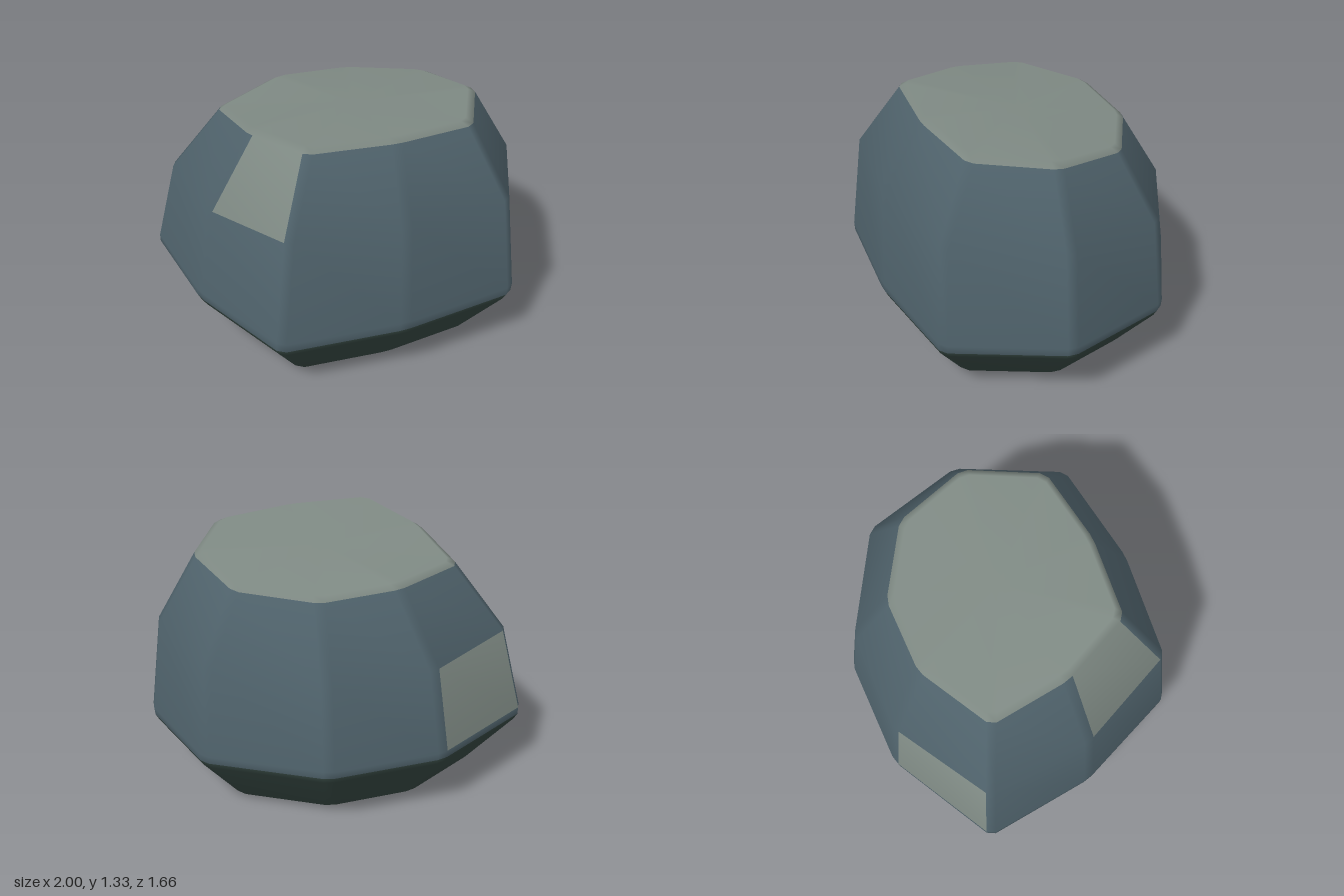
import * as THREE from 'three';

// Corner columns of the boulder, running from +x round through +z.
const waist = [[1.01, 0], [0.79, 0.63], [0.15, 0.8], [-0.52, 0.835], [-0.86, 0.28],
  [-1.02, -0.335], [-0.47, -0.745], [0.15, -0.84], [0.77, -0.575]].map(([x, z]) => new THREE.Vector3(x, 0.335, z));
const shoulder = [[0.94, 0.9, 0], [0.74, 0.92, 0.59], [0.15, 0.95, 0.75], [-0.45, 0.955, 0.77], [-0.77, 0.88, 0.27],
  [-0.9, 0.84, -0.3], [-0.415, 0.83, -0.69], [0.15, 0.83, -0.77], [0.72, 0.86, -0.54]].map((p) => new THREE.Vector3(...p));
const crown = [[0.72, 1.28, 0], [0.57, 1.305, 0.405], [0.15, 1.325, 0.525], [-0.3, 1.335, 0.545], [-0.52, 1.285, 0.2],
  [-0.62, 1.22, -0.215], [-0.26, 1.225, -0.485], [0.15, 1.205, -0.545], [0.55, 1.225, -0.375]].map((p) => new THREE.Vector3(...p));
const base = waist.map((p) => new THREE.Vector3(p.x * 0.71, 0, p.z * 0.71));

const COLS = waist.length;
const N = COLS * 2; // each corner is split in two for its bevel

const blend = (a, b, t) => a.map((p, i) => p.clone().lerp(b[i], t));
const inset = (ring, s) => ring.map((p) => new THREE.Vector3(p.x * s, p.y, p.z * s));

// Cut every corner of a ring into two points.
function splitCorners(ring) {
  return ring.flatMap((p, i) => [COLS - 1, 1].map((step) => {
    const q = ring[(i + step) % COLS];
    return p.clone().lerp(q, 0.03 / p.distanceTo(q));
  }));
}

export function createModel() {
  const levels = [
    inset(base, 0.95),
    blend(base, waist, 0.09),
    blend(base, waist, 0.9),
    inset(waist, 0.99),
    blend(waist, shoulder, 0.08),
    shoulder,
    blend(shoulder, crown, 0.94),
    inset(crown, 0.96),
  ].map(splitCorners);
  const top = levels.length - 1;

  const points = levels.flat();
  const middle = (ring) => ring.reduce((s, p) => s.add(p), new THREE.Vector3()).divideScalar(N);
  const bottomCentre = points.push(middle(levels[0])) - 1;
  const topCentre = points.push(middle(levels[top])) - 1;

  const parts = {
    underside: { color: 0x3f4a50, index: [] },
    skirt: { color: 0x33443f, index: [] },
    walls: { color: 0x4f626b, index: [] },
    chippedFaces: { color: 0x7f8a84, index: [] },
    flatTop: { color: 0x7f8a84, index: [] },
  };

  // Two bare patches: one high on the front right, one low on the back right.
  const isChip = (k, i) => (k === 5 && i === 7) || (k === 4 && i === 11);
  const partFor = (k, i) => {
    if (isChip(k, i)) return parts.chippedFaces;
    if (k < 3) return parts.skirt;
    return k === top - 1 ? parts.flatTop : parts.walls;
  };

  for (let i = 0; i < N; i++) {
    const j = (i + 1) % N;
    for (let k = 0; k < top; k++) {
      const a = k * N + i, b = k * N + j, c = b + N, d = a + N;
      partFor(k, i).index.push(a, d, c, a, c, b);
    }
    parts.underside.index.push(bottomCentre, i, j);
    parts.flatTop.index.push(topCentre, top * N + j, top * N + i);
  }

  // Smooth normals shared over the whole surface, then one mesh per part.
  const shell = new THREE.BufferGeometry().setFromPoints(points);
  shell.setIndex(Object.values(parts).flatMap((p) => p.index));
  shell.computeVertexNormals();

  const group = new THREE.Group();
  group.name = 'boulder';
  for (const [name, { color, index }] of Object.entries(parts)) {
    const geometry = shell.clone().setIndex(index).toNonIndexed();
    const mesh = new THREE.Mesh(geometry, new THREE.MeshStandardMaterial({ color }));
    mesh.name = name;
    group.add(mesh);
  }
  return group;
}
